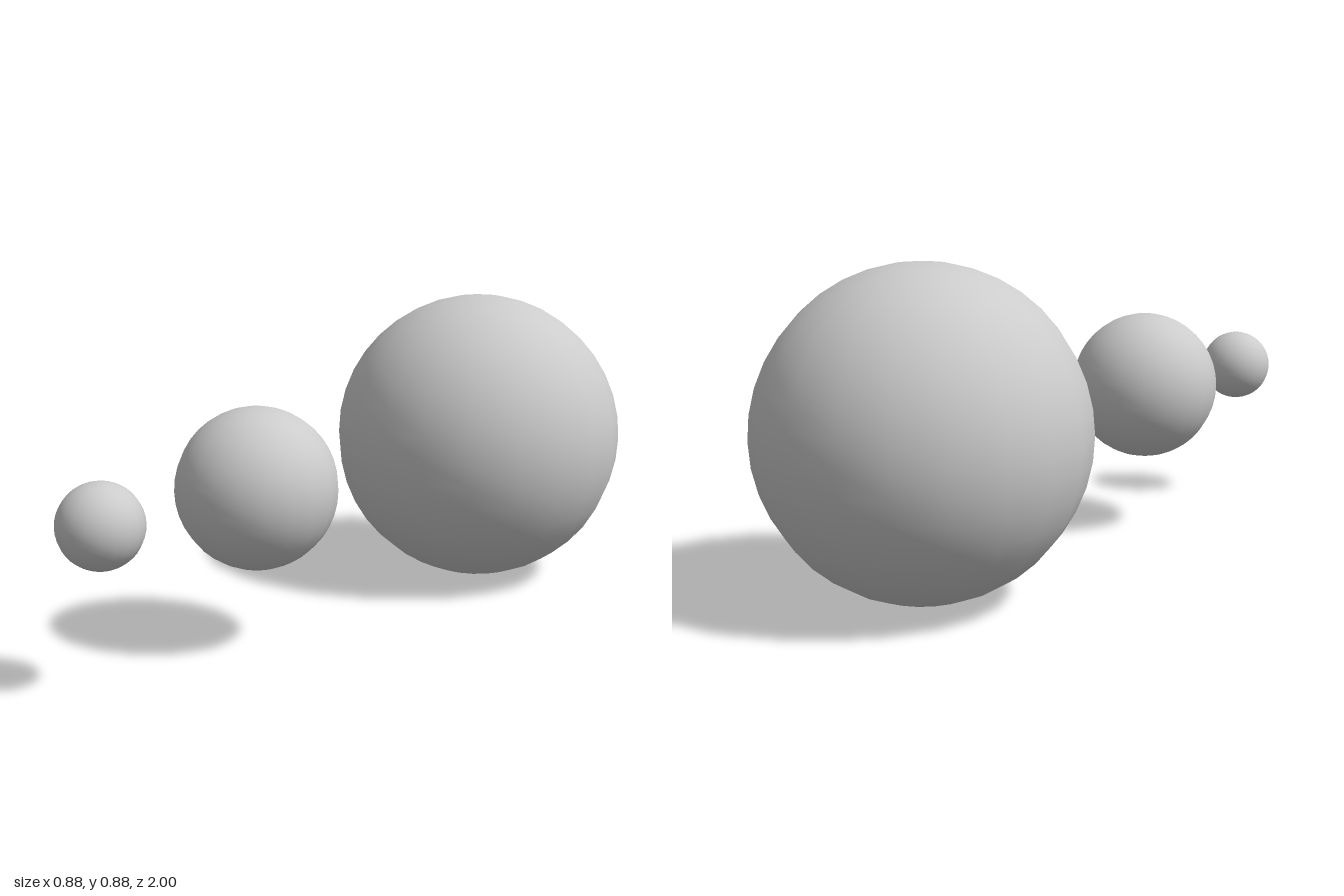
import * as THREE from 'three';

export function createModel() {
  const group = new THREE.Group();
  const material = new THREE.MeshStandardMaterial({ color: 0xcccccc });
  const geometry = new THREE.SphereGeometry(1, 20, 20);
  const largeRadius = 0.439;

  // Three balls in a row, each half the radius of the one behind it
  const balls = [
    ['largeBall', 1, -0.561],
    ['mediumBall', 0.5, 0.38],
    ['smallBall', 0.25, 0.89],
  ];
  for (const [name, ratio, z] of balls) {
    const ball = new THREE.Mesh(geometry, material);
    ball.name = name;
    ball.scale.setScalar(largeRadius * ratio);
    ball.position.set(0, largeRadius, z);
    group.add(ball);
  }
  return group;
}
